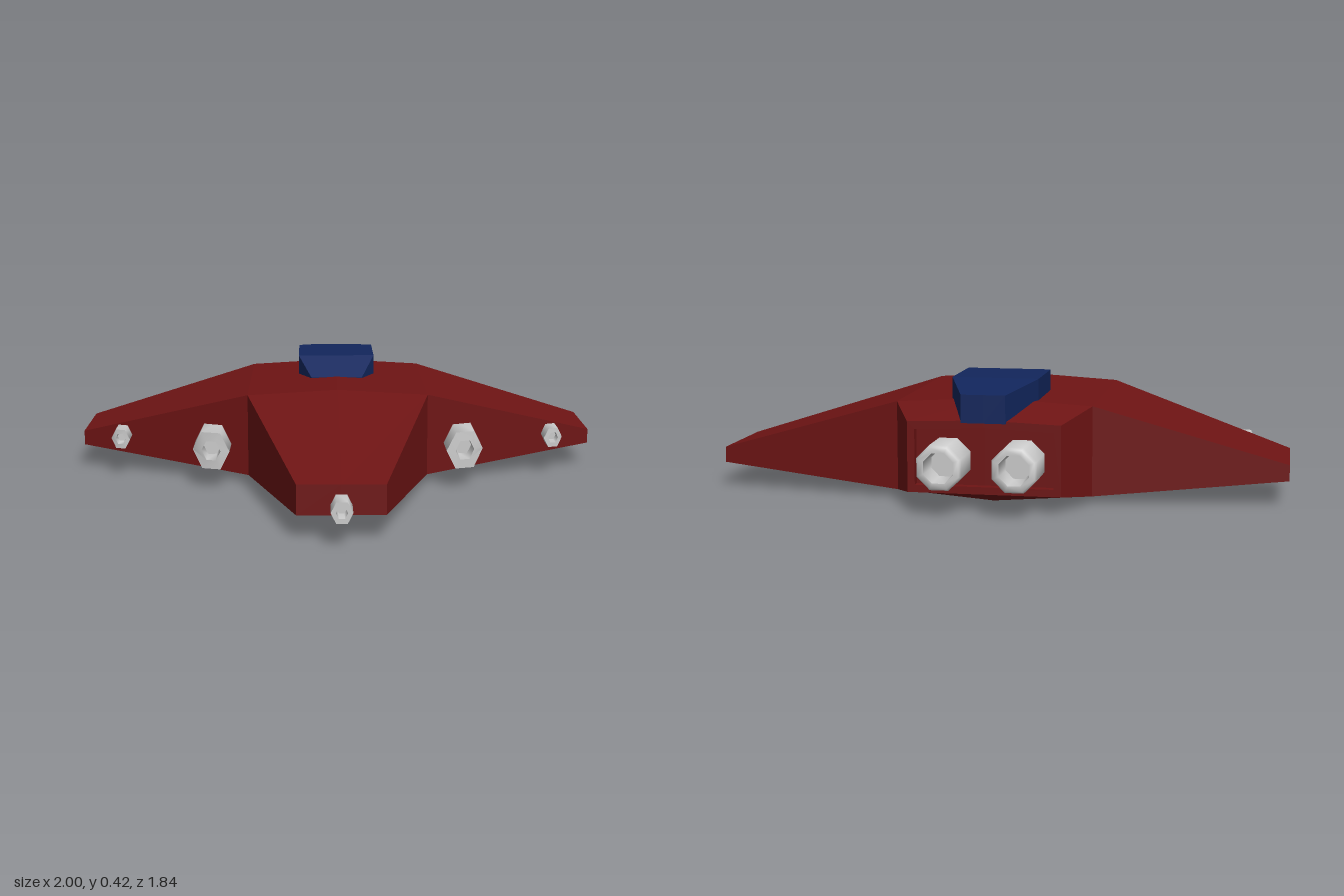
import * as THREE from 'three';
import { toCreasedNormals } from 'three/addons/utils/BufferGeometryUtils.js';

// Collects quads (given for the +x half) and mirrors each to the -x half.
function mirroredSurface() {
  const pos = [];
  const tri = (...pts) => pts.forEach((p) => pos.push(...p));
  const flip = ([x, y, z]) => [-x, y, z];
  const quad = (a, b, c, d) => {
    tri(a, b, c, a, c, d);
    [a, b, c, d] = [d, c, b, a].map(flip);
    tri(a, b, c, a, c, d);
  };
  const build = () => {
    const g = new THREE.BufferGeometry();
    g.setAttribute('position', new THREE.Float32BufferAttribute(pos, 3));
    g.computeVertexNormals();
    return g;
  };
  return { quad, build };
}

// Sections run front to rear; each lists half-profile points from top centre downwards.
function skin(surface, sections, skip = () => false) {
  for (let i = 0; i < sections.length - 1; i++) {
    const f = sections[i], r = sections[i + 1];
    for (let k = 0; k < f.length - 1; k++) {
      if (!skip(i, k)) surface.quad(f[k], f[k + 1], r[k + 1], r[k]);
    }
  }
}

// z, half width, top centre, top edge, bottom edge, bottom centre
const hullSection = (z, w, tc, te, be, bc) => [[0, tc, z], [w, te, z], [w, be, z], [0, bc, z]];

function hullGeometry() {
  const s = mirroredSurface();
  const sections = [
    hullSection(0.82, 0.15, 0.19, 0.19, 0.085, 0.085),
    hullSection(0.06, 0.34, 0.36, 0.34, 0.03, 0.003),
    hullSection(-0.62, 0.34, 0.36, 0.34, 0.03, 0.003),
    hullSection(-0.795, 0.26, 0.31, 0.3, 0.06, 0.06),
    // shallow recess in the tail
    hullSection(-0.795, 0.235, 0.285, 0.275, 0.085, 0.085),
    hullSection(-0.765, 0.235, 0.285, 0.275, 0.085, 0.085),
  ];
  skin(s, sections, (i, k) => i === 1 && k === 1);
  s.quad(...[...sections[0]].reverse());
  s.quad(...sections[5]);
  // wings
  const root = [sections[1][1], sections[1][2], sections[2][2], sections[2][1]];
  const tip = [[1, 0.145, -0.21], [1, 0.09, -0.21], [1, 0.09, -0.54], [1, 0.145, -0.54]];
  for (let j = 0; j < 4; j++) {
    const n = (j + 1) % 4;
    s.quad(root[j], root[n], tip[n], tip[j]);
  }
  s.quad(...tip);
  return s.build();
}

function canopyGeometry() {
  const s = mirroredSurface();
  const sections = [
    [-0.21, 0.1, 0.358, 0.33],
    [-0.33, 0.15, 0.425, 0.33],
    [-0.59, 0.15, 0.425, 0.33],
    [-0.8, 0.075, 0.395, 0.3],
  ].map(([z, w, top, bottom]) => [[0, top, z], [w, top, z], [w, bottom, z], [0, bottom, z]]);
  skin(s, sections);
  s.quad(...sections[0].slice().reverse());
  s.quad(...sections[3]);
  return s.build();
}

// Hollow barrel along +z with its muzzle at z = 0; slant pulls back the +x side of the muzzle.
function barrelGeometry({ r, bore, length, sides = 6, depth = length * 0.5, bevel = 0, slant = 0 }) {
  const profile = [
    [r, -length], [r, -bevel], [r - bevel * 0.6, 0], [bore, 0], [bore * 0.9, -depth], [0, -depth],
  ].filter((p, i) => bevel > 0 || i !== 2).map(([x, y]) => new THREE.Vector2(x, y));
  const start = sides === 6 ? Math.PI / 2 : Math.PI / sides;
  const g = new THREE.LatheGeometry(profile, sides, start).rotateX(Math.PI / 2);
  if (sides === 6) g.scale(1, 1.14, 1);
  else g.scale(1 / Math.cos(start), 1 / Math.cos(start), 1);
  const p = g.attributes.position;
  for (let i = 0; i < p.count; i++) {
    if (p.getZ(i) > -depth * 0.5) {
      const t = (p.getX(i) / r + 1) / 2;
      p.setZ(i, p.getZ(i) - slant * t * t);
    }
  }
  return toCreasedNormals(g, Math.PI * 0.36);
}

export function createModel() {
  const model = new THREE.Group();
  const paint = (color, flatShading = false) => new THREE.MeshStandardMaterial({ color, flatShading });
  const red = paint(0x6e1414, true);
  const blue = paint(0x12265c, true);
  const grey = paint(0xcccccc);
  grey.side = THREE.DoubleSide;

  const add = (name, geometry, material, x = 0, y = 0, z = 0) => {
    const mesh = new THREE.Mesh(geometry, material);
    mesh.name = name;
    mesh.position.set(x, y, z);
    model.add(mesh);
    return mesh;
  };

  add('hullAndWings', hullGeometry(), red);
  add('canopy', canopyGeometry(), blue);
  add('noseGun', barrelGeometry({ r: 0.037, bore: 0.02, length: 0.13, depth: 0.06 }), grey, 0, 0.12, 0.92);

  // paired guns and engines
  const innerGun = barrelGeometry({ r: 0.07, bore: 0.036, length: 0.25, depth: 0.1, slant: 0.045 });
  const outerGun = barrelGeometry({ r: 0.037, bore: 0.02, length: 0.16, depth: 0.06, slant: 0.025 });
  const engine = barrelGeometry({ r: 0.075, bore: 0.05, length: 0.18, depth: 0.1, sides: 8, bevel: 0.012 });
  for (const [side, sx] of [['left', 1], ['right', -1]]) {
    add(`${side}InnerGun`, innerGun, grey, sx * 0.475, 0.147, 0.165).scale.x = sx;
    add(`${side}OuterGun`, outerGun, grey, sx * 0.838, 0.146, -0.048).scale.x = sx;
    add(`${side}Engine`, engine, grey, sx * 0.125, 0.168, -0.92).rotation.y = Math.PI;
  }
  return model;
}
